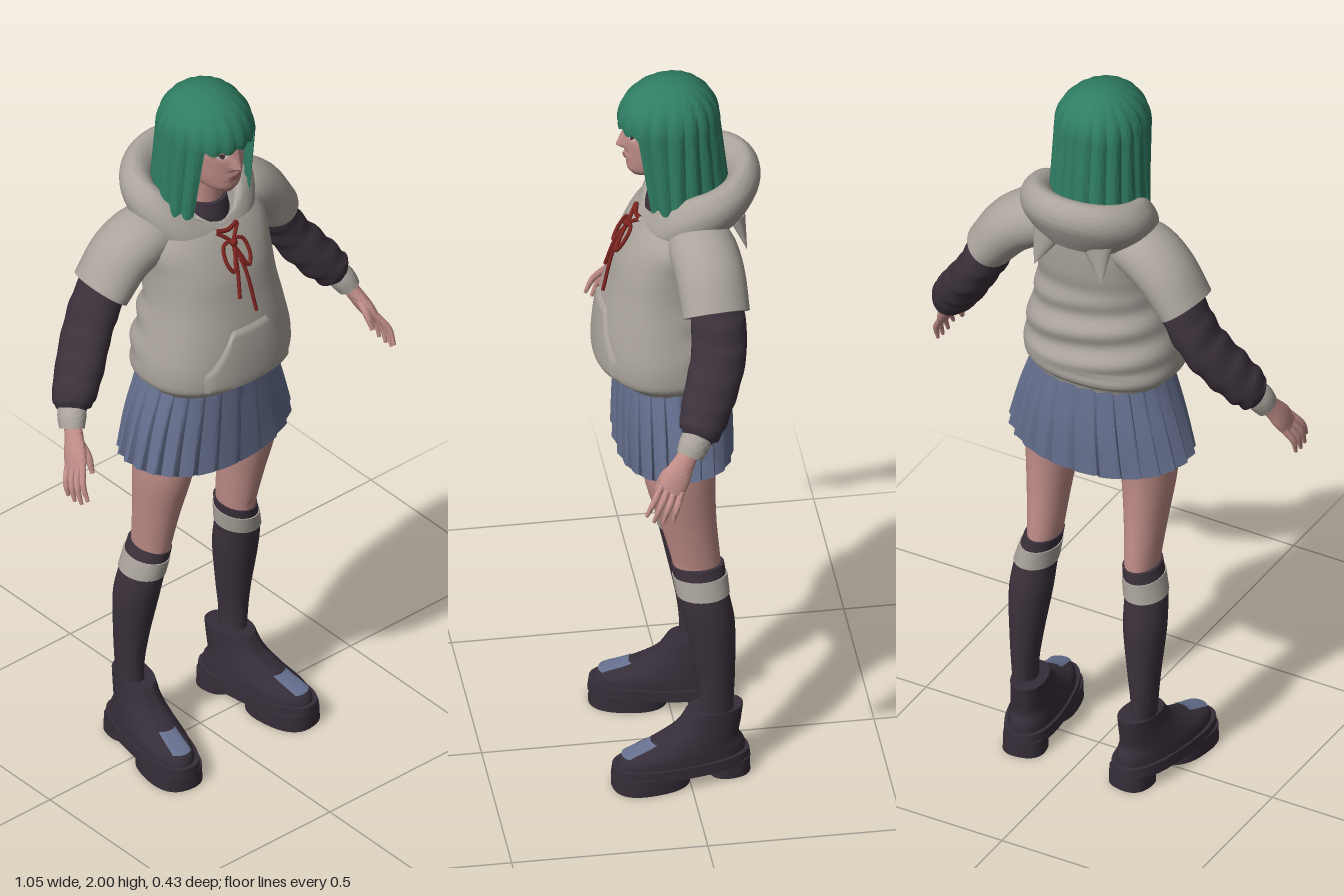
import * as THREE from 'three';
import { toCreasedNormals } from 'three/addons/utils/BufferGeometryUtils.js';

const V = (x, y, z) => new THREE.Vector3(x, y, z);
const mat = (name, color, side = THREE.FrontSide) => {
  const m = new THREE.MeshStandardMaterial({ color, side });
  m.name = name;
  return m;
};

// Grid surface from a rule; u runs counter-clockwise, v runs up
function sheet(nu, nv, fn, crease = 0.9) {
  const pos = [], idx = [];
  for (let j = 0; j <= nv; j++) for (let i = 0; i <= nu; i++) pos.push(...fn(i / nu, j / nv).toArray());
  for (let j = 0; j < nv; j++) for (let i = 0; i < nu; i++) {
    const a = j * (nu + 1) + i, d = a + nu + 1;
    idx.push(a, a + 1, d + 1, a, d + 1, d);
  }
  const g = new THREE.BufferGeometry();
  g.setAttribute('position', new THREE.Float32BufferAttribute(pos, 3));
  g.setIndex(idx);
  return toCreasedNormals(g, crease);
}

// Smooth skin through cross-sections [x, y, z, halfWidth, halfDepth]
function skinOf(rings, { along = false, p = 1 } = {}) {
  const A = new THREE.CatmullRomCurve3(rings.map(r => V(r[0], r[1], r[2])), false, 'catmullrom');
  const B = new THREE.CatmullRomCurve3(rings.map(r => V(r[3], r[4], 0)), false, 'catmullrom');
  const pw = s => Math.sign(s) * Math.abs(s) ** p;
  const at = (v, a, k = 1) => {
    const c = A.getPoint(v), r = B.getPoint(v);
    const T = along ? A.getTangent(v) : V(0, 1, 0);
    const D = V(0, 0, 1).addScaledVector(T, -T.z).normalize();
    const W = T.clone().cross(D);
    return c.addScaledVector(W, k * r.x * pw(Math.sin(a))).addScaledVector(D, k * r.y * pw(Math.cos(a)));
  };
  // Front depth of an upright skin at a given x and y
  const zAt = (x, y) => {
    let lo = 0, hi = 1;
    for (let i = 0; i < 24; i++) { const m = (lo + hi) / 2; if (A.getPoint(m).y < y) lo = m; else hi = m; }
    const c = A.getPoint(lo), r = B.getPoint(lo);
    const s = Math.min(1, Math.abs((x - c.x) / r.x) ** (1 / p));
    return c.z + r.y * Math.sqrt(1 - s * s) ** p;
  };
  return { at, zAt };
}

function loft(rings, opt = {}) {
  const { seg = 28, rows = 24, cap = true, warp = q => q } = opt;
  const { at } = skinOf(rings, opt), e = cap ? 1 : 0;
  return sheet(seg, rows + 2 * e, (u, v) => {
    const k = v * (rows + 2 * e), a = u * Math.PI * 2;
    const shrink = cap && (k < 0.5 || k > rows + 1.5) ? 0.001 : 1;
    const t = THREE.MathUtils.clamp((k - e) / rows, 0, 1);
    return warp(at(t, a, shrink), a, t);
  }, opt.crease);
}

export function createModel() {
  const model = new THREE.Group();
  const skin = mat('skin', 0xc08d88), hairMat = mat('hair green', 0x2f7d63, THREE.DoubleSide);
  const cloth = mat('hoodie grey', 0xaaa49c), dark = mat('dark cloth', 0x3b313b);
  const leather = mat('shoe leather', 0x352d38), blue = mat('skirt blue', 0x66708f, THREE.DoubleSide);
  const red = mat('cord red', 0x7d2420), white = mat('eye white', 0xcfc6c2);
  const ink = mat('eye dark', 0x43343a), lip = mat('lip', 0x9c625f);
  const add = (name, geo, m, parent = model) => {
    const o = new THREE.Mesh(geo, m);
    o.name = name;
    parent.add(o);
    return o;
  };

  // Head with nose, chin and eye hollows
  const headRings = [[0, 1.73, 0.095, 0.02, 0.022], [0, 1.75, 0.07, 0.05, 0.06], [0, 1.78, 0.045, 0.069, 0.087],
    [0, 1.82, 0.03, 0.078, 0.104], [0, 1.87, 0.02, 0.083, 0.115], [0, 1.92, 0.015, 0.078, 0.108], [0, 1.965, 0.01, 0.045, 0.06]];
  const bump = (x, y, cx, cy, w, h) => Math.exp(-(((Math.abs(x) - cx) / w) ** 2) - ((y - cy) / h) ** 2);
  const faceWarp = q => {
    if (q.z < 0.06) return q;
    const n = THREE.MathUtils.clamp((1.87 - q.y) / 0.05, 0, 1) * THREE.MathUtils.smoothstep(q.y, 1.802, 1.816);
    q.z += 0.024 * n * Math.exp(-((q.x / 0.012) ** 2)) - 0.008 * bump(q.x, q.y, 0.032, 1.855, 0.016, 0.012)
      + 0.007 * bump(q.x, q.y, 0, 1.785, 0.02, 0.009);
    return q;
  };
  add('head', loft(headRings, { seg: 96, rows: 56, warp: faceWarp, crease: 1.2 }), skin);
  const headSkin = skinOf(headRings);
  const facePatch = (name, cx, cy, w, h, off, m) => add(name, sheet(16, 3, (u, v) => {
    const r = 1 - v, a = u * Math.PI * 2, x = cx + w * r * Math.cos(a), y = cy + h * r * Math.sin(a);
    const q = faceWarp(V(x, y, headSkin.zAt(x, y)));
    q.z += off;
    return q;
  }), m);
  for (const s of [1, -1]) {
    facePatch('eye', s * 0.032, 1.853, 0.014, 0.006, 0.002, white);
    facePatch('iris', s * 0.032, 1.853, 0.006, 0.006, 0.003, ink);
    facePatch('eyelid', s * 0.032, 1.859, 0.016, 0.002, 0.0035, ink);
  }
  facePatch('mouth', 0, 1.785, 0.02, 0.005, 0.0015, lip);
  add('neck', loft([[0, 1.6, 0.01, 0.05, 0.05], [0, 1.68, 0.015, 0.047, 0.05], [0, 1.78, 0.02, 0.05, 0.055]]), skin);
  add('shirtCollar', loft([[0, 1.56, 0.01, 0.075, 0.075], [0, 1.63, 0.015, 0.062, 0.068], [0, 1.672, 0.015, 0.055, 0.06]]), dark);

  // Bobbed hair: dome, short fringe and a long curtain round the sides and back
  add('hair', sheet(180, 44, (u, v) => {
    const a = u * Math.PI * 2, lobe = Math.abs(Math.sin(a * 9 + 0.6));
    const front = Math.min(a, Math.PI * 2 - a) < 0.8;
    const bottom = (front ? 1.872 : 1.662) + 0.014 * (1 - lobe);
    const h = Math.sin(Math.max(0, v - 0.5) * Math.PI);
    const y = v < 0.5 ? THREE.MathUtils.lerp(bottom, 1.88, v * 2) : 1.88 + 0.12 * h;
    const k = THREE.MathUtils.clamp((1.88 - y) / 0.22, 0, 1);
    const r = Math.max(0.003, Math.sqrt(Math.max(0, 1 - h ** 2.2))) * (1 + (front ? 0.03 : 0.07) * (lobe - 0.6) * (1 - 0.5 * h));
    const depth = Math.cos(a) > 0 ? 0.143 - 0.043 * k : 0.115 + 0.025 * k;
    return V((0.118 + 0.01 * k) * r * Math.sin(a), y, 0.01 + depth * r * Math.cos(a));
  }, 0.7), hairMat);

  // Hoodie body
  const torsoRings = [[0, 1.15, 0.025, 0.18, 0.14], [0, 1.168, 0.03, 0.192, 0.15], [0, 1.19, 0.037, 0.21, 0.17],
    [0, 1.25, 0.04, 0.21, 0.168], [0, 1.33, 0.04, 0.193, 0.158], [0, 1.42, 0.035, 0.176, 0.142], [0, 1.5, 0.02, 0.174, 0.136],
    [0, 1.57, 0, 0.178, 0.12], [0, 1.62, -0.02, 0.15, 0.1], [0, 1.65, -0.03, 0.1, 0.07]];
  const torso = skinOf(torsoRings, { p: 0.88 });
  add('hoodieBody', loft(torsoRings, {
    seg: 56, rows: 60, p: 0.88,
    warp: (q, a) => {
      const f = THREE.MathUtils.smoothstep(q.y, 1.19, 1.24) * (1 - THREE.MathUtils.smoothstep(q.y, 1.35, 1.5));
      q.z += Math.cos(a) < 0 ? 0.008 * f * Math.sin(q.y * 70 + q.x * 12) : 0;
      return q;
    },
  }), cloth);
  add('frontPocket', sheet(20, 16, (u, v) => {
    const y = 1.185 + 0.175 * v, half = v < 0.35 ? 0.145 : 0.145 - 0.09 * ((v - 0.35) / 0.65) ** 0.8;
    const x = half * (2 * u - 1), edge = u === 0 || u === 1 || v === 0 || v === 1;
    return V(x, y, torso.zAt(x, y) + (edge ? -0.006 : 0.008));
  }), cloth);

  // Hood lying round the neck, low in front and high behind
  add('hood', loft([[0, 1.57, -0.05, 0.125, 0.115], [0, 1.61, -0.05, 0.165, 0.14], [0, 1.65, -0.05, 0.18, 0.158],
    [0, 1.69, -0.05, 0.174, 0.152], [0, 1.72, -0.045, 0.145, 0.128], [0, 1.7, -0.03, 0.11, 0.105], [0, 1.62, -0.02, 0.085, 0.08]], {
    seg: 56, rows: 40, cap: false, crease: 1.5,
    warp: (q, a) => {
      q.y += -0.25 * q.z - 0.08 * Math.max(0, Math.cos(a)) ** 2;
      return q;
    },
  }), cloth);
  for (const s of [1, -1]) {
    const ear = add('hoodEar', new THREE.ConeGeometry(0.042, 0.1, 20), cloth);
    ear.scale.z = 0.55;
    ear.position.set(s * 0.085, 1.575, -0.15);
    ear.rotation.set(Math.PI + 0.25, 0, s * -0.25);
  }

  // Drawstring bow
  const cord = (name, pts, closed = false, r = 0.005) => add(name, new THREE.TubeGeometry(
    new THREE.CatmullRomCurve3(pts.map(([x, y]) => V(x, y, torso.zAt(x, y) + 0.01)), closed), 32, r, 8, closed), red);
  for (const s of [1, -1]) {
    cord('bowLoop', [[0, 1.578], [s * 0.03, 1.575], [s * 0.038, 1.535], [s * 0.024, 1.51], [s * 0.01, 1.54]], true);
    cord('bowString', [[s * 0.035, 1.605], [s * 0.018, 1.592], [0, 1.575]]);
  }
  cord('cordTail', [[0, 1.575], [-0.012, 1.52], [-0.024, 1.44]]);
  cord('cordTail', [[0, 1.575], [0.01, 1.5], [0.02, 1.39]]);
  cord('collarCord', [[-0.035, 1.608], [0, 1.602], [0.035, 1.608]], false, 0.006);
  add('bowKnot', new THREE.SphereGeometry(0.011, 14, 10), red).position.set(0, 1.575, torso.zAt(0, 1.575) + 0.012);

  // Pleated skirt
  add('skirt', loft([[0, 0.905, 0.015, 0.248, 0.147], [0, 1.04, 0.015, 0.218, 0.146], [0, 1.18, 0.02, 0.178, 0.135]], {
    seg: 216, rows: 12, cap: false, p: 0.9, crease: 0.5,
    warp: (q, a, t) => {
      const pleat = ((a / (Math.PI * 2)) * 24) % 1, k = 1 + 0.09 * (1 - 0.75 * t) * (pleat < 0.85 ? pleat - 0.5 : (1 - pleat) * 5.67 - 0.5);
      q.y += (1 - t) * (0.025 * Math.sin(a) ** 2 + 0.012 * pleat);
      return V(q.x * k, q.y, 0.015 + (q.z - 0.015) * k);
    },
  }), blue);

  for (const s of [1, -1]) {
    const M = rings => rings.map(([x, ...r]) => [x * s, ...r]);
    const side = s > 0 ? 'left' : 'right';

    // Arm: short hoodie sleeve, long dark sleeve, cuff and hand
    add(side + 'ShortSleeve', loft(M([[0.11, 1.59, -0.03, 0.065, 0.08], [0.165, 1.58, -0.04, 0.075, 0.087],
      [0.225, 1.54, -0.05, 0.073, 0.088], [0.283, 1.465, -0.055, 0.064, 0.086]]), { along: true }), cloth);
    add(side + 'LongSleeve', loft(M([[0.24, 1.52, -0.05, 0.05, 0.062], [0.285, 1.44, -0.06, 0.056, 0.07], [0.33, 1.36, -0.052, 0.054, 0.07],
      [0.385, 1.28, -0.02, 0.056, 0.066], [0.43, 1.222, 0.008, 0.05, 0.056], [0.442, 1.205, 0.018, 0.034, 0.04]]), {
      along: true, rows: 40,
      warp: (q, a, t) => {
        q.y += 0.005 * Math.sin(t * 42 + Math.sin(a) * 2);
        return q;
      },
    }), dark);
    add(side + 'Cuff', loft(M([[0.435, 1.215, 0.012, 0.032, 0.038], [0.45, 1.19, 0.027, 0.034, 0.039], [0.461, 1.165, 0.04, 0.029, 0.035]]),
      { along: true }), cloth);
    const hand = new THREE.Group();
    hand.name = side + 'Hand';
    model.add(hand);
    add('palm', loft(M([[0.455, 1.18, 0.034, 0.018, 0.025], [0.467, 1.15, 0.055, 0.019, 0.028], [0.482, 1.115, 0.077, 0.018, 0.036],
      [0.496, 1.083, 0.095, 0.011, 0.034]]), { along: true }), skin, hand);
    const digit = (name, a, b, c, r) => add(name, loft(M([[...a, r, r], [...b, r * 0.95, r * 0.95], [...c, r * 0.55, r * 0.55]]),
      { along: true, seg: 12, rows: 12 }), skin, hand);
    for (let i = 0; i < 4; i++) {
      const k = i - 1.5, l = [0.85, 0.98, 1.03, 0.93][i];
      const x = 0.493 - 0.003 * k, y = 1.093 + 0.007 * k, z = 0.09 + 0.016 * k;
      digit('finger', [x, y, z], [x + 0.022 * l, y - 0.042 * l, z + (0.022 + 0.003 * k) * l],
        [x + 0.023 * l, y - 0.085 * l, z + (0.038 + 0.006 * k) * l], 0.0085);
    }
    digit('thumb', [0.465, 1.148, 0.068], [0.464, 1.115, 0.105], [0.466, 1.075, 0.125], 0.011);

    // Leg and knee sock
    add(side + 'Leg', loft(M([[0.142, 0.57, -0.032, 0.036, 0.058], [0.14, 0.64, -0.024, 0.043, 0.062], [0.14, 0.75, -0.005, 0.053, 0.072],
      [0.1375, 0.88, 0.015, 0.067, 0.09], [0.125, 1.0, 0.015, 0.075, 0.1], [0.1, 1.13, 0.015, 0.08, 0.1]])), skin);
    add(side + 'Sock', loft(M([[0.165, 0.1, -0.07, 0.03, 0.045], [0.172, 0.22, -0.073, 0.032, 0.043], [0.17, 0.32, -0.07, 0.041, 0.05],
      [0.165, 0.45, -0.057, 0.054, 0.063], [0.158, 0.54, -0.04, 0.052, 0.065], [0.142, 0.62, -0.029, 0.046, 0.067]]), { rows: 32 }), dark);
    add(side + 'SockBand', loft(M([[0.158, 0.542, -0.04, 0.055, 0.068], [0.148, 0.592, -0.033, 0.051, 0.07]])), cloth);

    // Chunky loafer, toes turned outward
    const shoe = new THREE.Group();
    shoe.name = side + 'Shoe';
    shoe.position.x = 0.172 * s;
    shoe.rotation.y = 0.17 * s;
    model.add(shoe);
    const upper = [[0, 0.05, 0.02, 0.066, 0.17], [0, 0.085, 0.015, 0.063, 0.162], [0, 0.112, -0.015, 0.057, 0.118],
      [0, 0.15, -0.052, 0.049, 0.086], [0, 0.195, -0.072, 0.045, 0.072]];
    add('upper', loft(upper, { seg: 40, p: 0.9 }), leather, shoe);
    const vamp = skinOf(upper, { p: 0.9 });
    add('vampPatch', sheet(12, 8, (u, v) => vamp.at(0.28 + 0.25 * v, (u - 0.5) * 0.8).add(V(0, 0.004, 0.004))), blue, shoe);
    const slab = (name, y0, y1, z, w, d) => add(name, loft([[0, y0, z, w, d], [0, y1, z, w * 0.98, d * 0.98]],
      { seg: 40, rows: 2, p: 0.8, crease: 0.6 }), leather, shoe);
    slab('soleRim', 0.035, 0.065, 0.02, 0.072, 0.182);
    slab('forefootSole', 0, 0.045, 0.1, 0.07, 0.1);
    slab('heel', 0, 0.045, -0.105, 0.056, 0.055);
  }
  return model;
}
